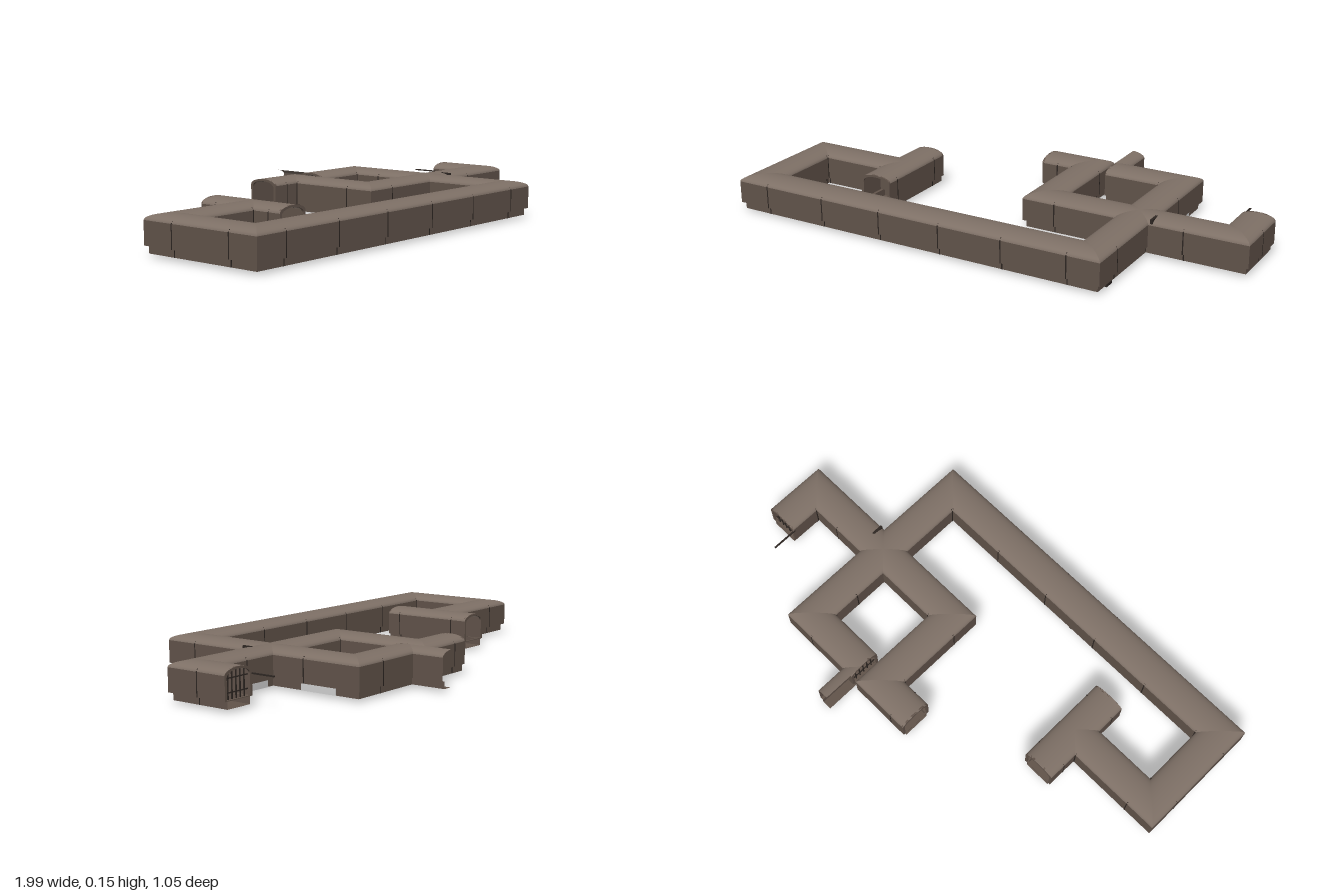
import * as THREE from 'three';
import { mergeGeometries } from 'three/addons/utils/BufferGeometryUtils.js';

const mat = (name, color) => {
  const m = new THREE.MeshStandardMaterial({ color, side: THREE.DoubleSide });
  m.name = name;
  return m;
};

// Tunnel cross-section as [lateral, height]
const W = 0.0675, S = 0.0555, FLOOR = 0.012, LEDGE = 0.04, EAVE = 0.128, RISE = 0.024;
const arch = (w, y, h, n = 16) => Array.from({ length: n + 1 }, (_, i) => {
  const a = Math.PI * (1 - i / n);
  return [w * Math.cos(a), y + h * Math.sin(a)];
});
const ROOF = arch(W, EAVE, RISE);
const WALLS = [
  [[-W, LEDGE], [-W, EAVE]], [[W, EAVE], [W, LEDGE]],
  [[-S, LEDGE], [-W, LEDGE]], [[W, LEDGE], [S, LEDGE]],
];
const BASE = [
  [[-S, FLOOR], [-S, LEDGE]], [[S, LEDGE], [S, FLOOR]], [[S, FLOOR], [-S, FLOOR]],
];

// Surface between two stations; each station has a point and a lateral (mitre) vector
function strip(points, a, b) {
  const pos = [], idx = [];
  points.forEach(([u, y]) => {
    for (const s of [a, b]) pos.push(s.p[0] + s.l[0] * u, y, s.p[1] + s.l[1] * u);
  });
  for (let i = 0; i < points.length - 1; i++) {
    const k = i * 2;
    idx.push(k, k + 1, k + 2, k + 2, k + 1, k + 3);
  }
  const g = new THREE.BufferGeometry();
  g.setAttribute('position', new THREE.Float32BufferAttribute(pos, 3));
  g.setIndex(idx);
  g.computeVertexNormals();
  return g;
}

const heading = (a, b) => {
  const x = b[0] - a[0], z = b[1] - a[1], len = Math.hypot(x, z);
  return { x: x / len, z: z / len, len };
};

export function createModel() {
  const model = new THREE.Group();
  model.name = 'tunnelNetwork';
  const roofMat = mat('roof stone', 0x7e7066);
  const wallMat = mat('wall stone', 0x62544b);
  const darkMat = mat('dark iron', 0x2e2723);
  const paleMat = mat('pale panel', 0xd2d2d2);

  const add = (name, geo, material, parent = model) => {
    const m = new THREE.Mesh(geo, material);
    m.name = name;
    parent.add(m);
    return m;
  };
  const box = (name, x0, x1, y0, y1, z0, z1, material) =>
    add(name, new THREE.BoxGeometry(x1 - x0, y1 - y0, z1 - z0), material)
      .position.set((x0 + x1) / 2, (y0 + y1) / 2, (z0 + z1) / 2);

  // Mitred tunnel runs with dark joint ribs
  const ribSides = [-1, 1].map(s => [
    [S + 0.001, FLOOR], [S + 0.001, LEDGE], [W + 0.001, LEDGE], [W + 0.001, EAVE],
    [W * 0.92, EAVE + RISE * 0.42],
  ].map(([u, y]) => [u * s, y]));

  function tunnel(name, path) {
    const group = new THREE.Group();
    group.name = name;
    const dirs = path.slice(1).map((p, i) => heading(path[i], p));
    const stations = path.map((p, i) => {
      const near = [dirs[i - 1], dirs[i]].filter(Boolean);
      return { p, l: [near.reduce((t, d) => t - d.z, 0), near.reduce((t, d) => t + d.x, 0)] };
    });
    const roofs = [], walls = [], bases = [], ribs = [];
    dirs.forEach((d, i) => {
      const a = stations[i], b = stations[i + 1];
      roofs.push(strip(ROOF, a, b));
      WALLS.forEach(w => walls.push(strip(w, a, b)));
      BASE.forEach(w => bases.push(strip(w, a, b)));
      for (let t = 0.07; t < d.len - 0.03; t += 0.266) {
        const at = q => ({ p: [a.p[0] + d.x * q, a.p[1] + d.z * q], l: [-d.z, d.x] });
        ribSides.forEach(r => ribs.push(strip(r, at(t - 0.0025), at(t + 0.0025))));
      }
    });
    add('roof', mergeGeometries(roofs), roofMat, group);
    add('walls', mergeGeometries(walls), wallMat, group);
    add('base', mergeGeometries(bases), wallMat, group);
    add('jointRibs', mergeGeometries(ribs), darkMat, group);
    model.add(group);
  }
  tunnel('mainTunnel', [[-0.533, 0.058], [-0.932, 0.058], [-0.932, 0.451], [0.532, 0.451],
    [0.532, -0.333], [0.23, -0.333]]);
  tunnel('crossTunnel', [[-0.06, -0.335], [0.137, -0.335], [0.137, 0.058], [0.925, 0.058],
    [0.925, -0.14]]);
  tunnel('sideTunnel', [[-0.533, -0.14], [-0.533, 0.251]]);

  // Narrow half-vaulted passage at the back
  const half = [[0.017, EAVE + RISE * 0.97], ...ROOF.filter(([u]) => u > 0.018)];
  const back = { p: [0.213, -0.53], l: [1, 0] }, front = { p: [0.213, -0.335], l: [1, 0] };
  add('halfPassageRoof', strip(half, back, front), roofMat);
  add('halfPassageWalls', mergeGeometries([
    [[W, EAVE], [W, LEDGE]], [[W, LEDGE], [S, LEDGE]], [[S, LEDGE], [S, FLOOR]],
    [[S, FLOOR], [0.017, FLOOR]],
  ].map(s => strip(s, back, front))), wallMat);

  // Arched frames on the open ends, some with a barred gate
  const outline = (ShapeType, w, y0, y1, h) => new ShapeType(
    [[w, y0], [-w, y0], ...arch(w, y1, h)].map(([x, y]) => new THREE.Vector2(x, y)));
  const frameShape = outline(THREE.Shape, W, LEDGE, EAVE, RISE);
  frameShape.holes.push(outline(THREE.Path, W - 0.01, LEDGE + 0.003, EAVE - 0.008, RISE));
  const frameGeo = new THREE.ExtrudeGeometry(frameShape, { depth: 0.008, bevelEnabled: false });
  [
    [-0.533, -0.14, Math.PI, false], [-0.533, 0.251, 0, false], [0.925, -0.14, Math.PI, true],
    [-0.06, -0.335, -Math.PI / 2, false], [0.23, -0.333, -Math.PI / 2, true],
  ].forEach(([x, z, turn, gated]) => {
    const end = new THREE.Group();
    end.name = 'tunnelEnd';
    end.position.set(x, 0, z);
    end.rotation.y = turn;
    add('archFrame', frameGeo, wallMat, end).position.z = -0.0075;
    if (gated) {
      for (let i = -2; i <= 2; i++) {
        add('gateBar', new THREE.BoxGeometry(0.004, 0.1, 0.004), darkMat, end)
          .position.set(i * 0.02, 0.09, -0.012);
      }
      for (const y of [0.065, 0.115]) {
        add('gateRail', new THREE.BoxGeometry(0.115, 0.004, 0.004), darkMat, end)
          .position.set(0, y, -0.012);
      }
    }
    model.add(end);
  });

  // Pale panels set along the base
  box('longBasePanel', -0.14, 0.4, 0.012, 0.039, 0.392, 0.396, paleMat);
  box('armBasePanel', 0.62, 0.84, 0.012, 0.039, -0.001, 0.003, paleMat);
  box('columnBasePanel', 0.587, 0.591, 0.012, 0.039, -0.288, -0.133, paleMat);

  // Small fittings: projecting rod, wall conduit and drains
  box('projectingRod', 0.855, 0.861, 0.115, 0.12, -0.24, -0.13, darkMat);
  box('conduit', 0.606, 0.616, 0.04, 0.151, 0.06, 0.124, darkMat);
  box('drain', 0.545, 0.59, 0.004, 0.014, 0.4, 0.44, darkMat);
  box('smallDrain', -0.205, -0.195, 0, 0.014, 0.395, 0.402, darkMat);
  return model;
}
